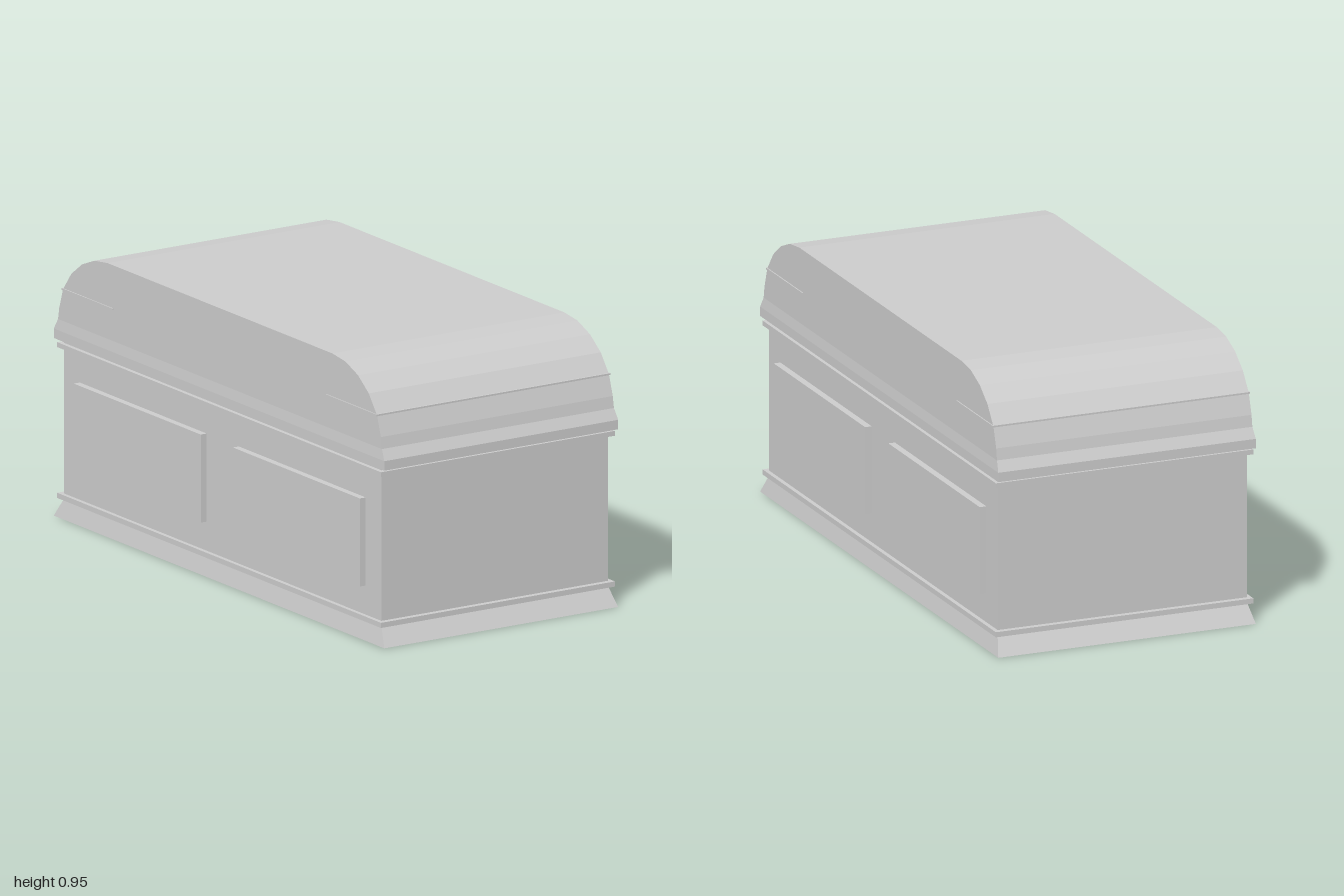
import * as THREE from 'three';

const material = new THREE.MeshStandardMaterial({ color: 0xcccccc, flatShading: true });

function addMesh(group, name, geometry) {
  const mesh = new THREE.Mesh(geometry, material);
  mesh.name = name;
  group.add(mesh);
  return mesh;
}

// Box from half width, half depth and a height range
function addSlab(group, name, hx, hz, y0, y1) {
  const mesh = addMesh(group, name, new THREE.BoxGeometry(hx * 2, y1 - y0, hz * 2));
  mesh.position.y = (y0 + y1) / 2;
  return mesh;
}

// Closed solid lofted through stacked rectangles: [half width, y, half depth]
function stackedRectangles(levels) {
  const positions = [];
  const index = [];
  for (const [x, y, z] of levels) positions.push(-x, y, z, x, y, z, x, y, -z, -x, y, -z);
  for (let i = 0; i < levels.length - 1; i++) {
    for (let k = 0; k < 4; k++) {
      const a = i * 4 + k, b = i * 4 + (k + 1) % 4;
      index.push(a, b, b + 4, a, b + 4, a + 4);
    }
  }
  const t = (levels.length - 1) * 4;
  index.push(0, 2, 1, 0, 3, 2, t, t + 1, t + 2, t, t + 2, t + 3);
  const indexed = new THREE.BufferGeometry();
  indexed.setAttribute('position', new THREE.Float32BufferAttribute(positions, 3));
  indexed.setIndex(index);
  const geometry = indexed.toNonIndexed();
  geometry.computeVertexNormals();
  return geometry;
}

export function createModel() {
  const model = new THREE.Group();
  model.name = 'chest';

  // Flared foot, body and the two trim bands
  addMesh(model, 'baseSkirt', stackedRectangles([[0.47, 0, 1], [0.455, 0.066, 0.96]]));
  addSlab(model, 'body', 0.455, 0.96, 0.066, 0.618);
  addSlab(model, 'lowerTrim', 0.47, 0.98, 0.066, 0.084);
  addSlab(model, 'upperTrim', 0.47, 0.98, 0.59, 0.607);

  // Lid with a straight rim, a small step and rounded ends
  addMesh(model, 'lid', stackedRectangles([
    [0.47, 0.617, 1], [0.47, 0.65, 1], [0.466, 0.687, 0.98], [0.466, 0.727, 0.973],
    [0.466, 0.797, 0.95], [0.466, 0.862, 0.9], [0.466, 0.91, 0.835],
    [0.466, 0.94, 0.76], [0.466, 0.95, 0.68],
  ]));

  for (const side of [1, -1]) {
    // Thin strip across each end of the lid
    const strip = addMesh(model, side > 0 ? 'frontLidStrip' : 'backLidStrip',
      new THREE.BoxGeometry(0.94, 0.006, 0.307));
    strip.position.set(0, 0.798, side * 0.7995);

    // Two raised panels on each long side
    for (const end of [1, -1]) {
      const panel = addMesh(model, (side > 0 ? 'left' : 'right') + (end > 0 ? 'Front' : 'Back') + 'Panel',
        new THREE.BoxGeometry(0.03, 0.306, 0.768));
      panel.position.set(side * 0.464, 0.338, end * 0.481);
    }
  }
  return model;
}
